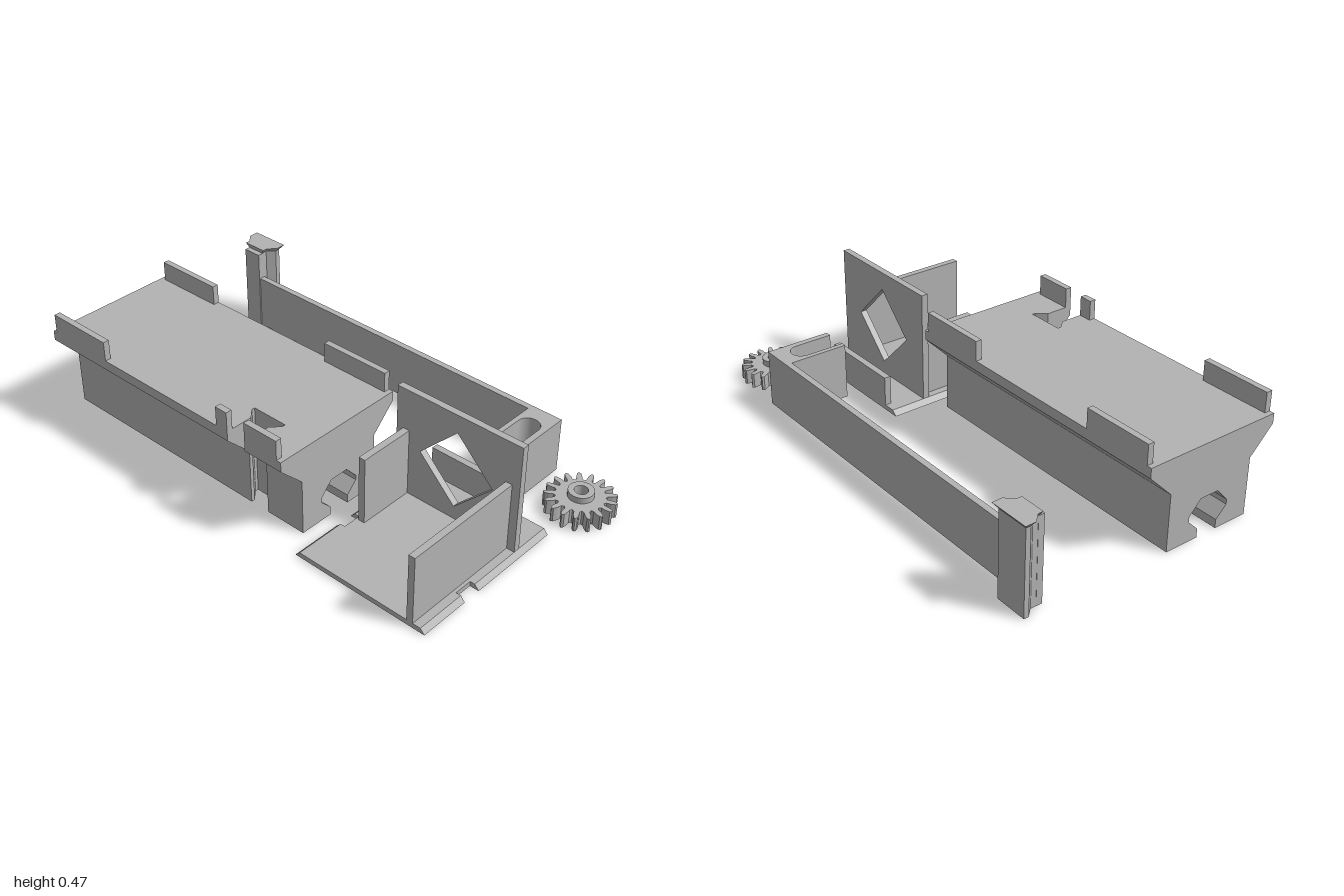
import * as THREE from 'three';

export function createModel() {
  const model = new THREE.Group();
  const grey = new THREE.MeshStandardMaterial({ color: 0xb3b3b3 });
  grey.name = 'plainGrey';

  const add = (name, geo, parent) => {
    const m = new THREE.Mesh(geo, grey);
    m.name = name;
    parent.add(m);
    return m;
  };
  const group = (name) => {
    const g = new THREE.Group();
    g.name = name;
    model.add(g);
    return g;
  };
  const box = (name, parent, x0, x1, y0, y1, z0, z1) =>
    add(name, new THREE.BoxGeometry(x1 - x0, y1 - y0, z1 - z0)
      .translate((x0 + x1) / 2, (y0 + y1) / 2, (z0 + z1) / 2), parent);
  const extrude = (shape, depth) =>
    new THREE.ExtrudeGeometry(shape, { depth, bevelEnabled: false, curveSegments: 16 });
  // cross-section of [z, y] points, run along x
  const alongX = (name, parent, pts, x0, x1) =>
    add(name, extrude(new THREE.Shape(pts.map(([z, y]) => new THREE.Vector2(-z, y))), x1 - x0)
      .rotateY(Math.PI / 2).translate(x0, 0, 0), parent);
  // plan of [x, z] points, raised along y
  const planShape = (pts) => new THREE.Shape(pts.map(([x, z]) => new THREE.Vector2(x, -z)));
  const upright = (name, parent, shape, y0, y1) =>
    add(name, extrude(shape, y1 - y0).rotateX(-Math.PI / 2).translate(0, y0, 0), parent);

  // ---- long block with overhanging top and a channel underneath
  const block = group('railBlock');
  const c = 0.2575;
  const channel = [[c - 0.045, 0], [c - 0.045, 0.035], [c - 0.09, 0.08], [c - 0.09, 0.1], [c - 0.04, 0.155],
    [c + 0.04, 0.155], [c + 0.09, 0.1], [c + 0.09, 0.08], [c + 0.045, 0.035], [c + 0.045, 0]];
  const cavity = [[0.13, 0], [0.13, 0.155], [0.385, 0.155], [0.385, 0]];
  const backEdge = [[-0.03, 0.37], [-0.03, 0.33], [0.07, 0.23], [0.07, 0]];
  const frontEdge = [[0.445, 0], [0.445, 0.23], [0.545, 0.33], [0.545, 0.37]];
  alongX('blockRightEnd', block, [...backEdge, ...channel, ...frontEdge], -1, -0.62);
  alongX('blockMiddle', block, [...backEdge, ...cavity, ...frontEdge], -0.62, -0.1);
  alongX('blockLeftEnd', block, [...backEdge, ...channel, [0.38, 0], [0.38, 0.37]], -0.1, 0.225);

  // front of the left end, split by the upright dovetail slot
  const lip = [[0.43, 0], ...frontEdge, [0.43, 0.37]];
  alongX('slotLipRight', block, lip, -0.1, -0.035);
  alongX('slotLipLeft', block, lip, 0.05, 0.225);
  upright('slotCheekRight', block, planShape(
    [[-0.1, 0.38], [-0.068, 0.38], [-0.068, 0.393], [-0.035, 0.43], [-0.1, 0.43]]), 0, 0.37);
  upright('slotCheekLeft', block, planShape(
    [[0.225, 0.38], [0.083, 0.38], [0.083, 0.393], [0.05, 0.43], [0.225, 0.43]]), 0, 0.37);

  // raised guide tabs
  for (const [z0, z1] of [[-0.03, -0.005], [0.52, 0.545]]) {
    const spans = z0 < 0 ? [[-0.98, -0.69], [-0.09, 0.205]]
      : [[-0.98, -0.69], [-0.09, -0.035], [0.05, 0.205]];
    for (const [x0, x1] of spans) box('guideTab', block, x0, x1, 0.37, 0.45, z0, z1);
  }

  // ---- tray with bevelled, notched base
  const tray = group('tray');
  const bevel = (name, z0, z1) => add(name, extrude(new THREE.Shape(
    [[0.285, 0], [0.868, 0], [0.85, 0.02], [0.305, 0.02]].map((p) => new THREE.Vector2(...p))), z1 - z0)
    .translate(0, 0, z0), tray);
  bevel('trayBaseBack', -0.135, 0.26);
  box('trayBaseMiddle', tray, 0.325, 0.83, 0, 0.02, 0.26, 0.335);
  bevel('trayBaseFront', 0.335, 0.545);
  box('sideWallRight', tray, 0.335, 0.363, 0.02, 0.3, 0.04, 0.275);
  box('sideWallLeft', tray, 0.79, 0.817, 0.02, 0.3, 0.04, 0.545);
  box('backTab', tray, 0.355, 0.717, 0.02, 0.14, -0.135, -0.108);

  // tall wall with diamond window
  const wall = new THREE.Shape([[0.305, 0.02], [0.85, 0.02], [0.85, 0.47], [0.305, 0.47]]
    .map((p) => new THREE.Vector2(...p)));
  wall.holes.push(new THREE.Path([[0.416, 0.235], [0.577, 0.396], [0.738, 0.235], [0.577, 0.074]]
    .map((p) => new THREE.Vector2(...p))));
  add('windowWall', extrude(wall, 0.027).translate(0, 0, 0.013), tray);

  // ---- long arm with a forked end
  const arm = group('arm');
  const fork = planShape([[-0.955, -0.465], [0.67, -0.465], [0.67, -0.197], [0.645, -0.197]]);
  fork.lineTo(0.645, 0.355);
  fork.absarc(0.6, 0.355, 0.045, 0, Math.PI, false);
  fork.lineTo(0.555, 0.197);
  fork.lineTo(0.535, 0.197);
  fork.lineTo(0.535, 0.44);
  fork.lineTo(-0.955, 0.44);
  upright('armBar', arm, fork, 0, 0.23);
  box('armPost', arm, -0.957, -0.877, 0, 0.345, -0.46, -0.435);

  // dovetail key with flared cap: same plan at three heights
  const cx = -0.918;
  const key = (w, n, zb, zs, zn, zf) => [[cx - w, zb], [cx + w, zb], [cx + w, zs],
    [cx + n, zn], [cx + n, zf], [cx - n, zf], [cx - n, zn], [cx - w, zs]];
  const shaft = key(0.066, 0.038, -0.532, -0.512, -0.482, -0.458);
  const cap = key(0.082, 0.052, -0.547, -0.505, -0.473, -0.452);
  upright('keyShaft', arm, planShape(shaft), 0, 0.345);
  const flare = extrude(planShape(shaft), 0.02).rotateX(-Math.PI / 2).translate(0, 0.345, 0);
  const p = flare.attributes.position;
  for (let i = 0; i < p.count; i++) {
    if (p.getY(i) < 0.355) continue;
    const k = shaft.findIndex(([x, z]) => Math.hypot(x - p.getX(i), z - p.getZ(i)) < 1e-4);
    if (k >= 0) p.setXYZ(i, cap[k][0], p.getY(i), cap[k][1]);
  }
  flare.computeVertexNormals();
  add('keyCap', flare, arm);

  // ---- small gear with hub and bore
  const gear = group('gear');
  gear.position.set(0.865, 0, -0.333);
  const teeth = 17;
  const outline = [];
  const toothProfile = [[-0.5, 0.09], [-0.28, 0.097], [-0.24, 0.115], [-0.15, 0.13],
    [0, 0.135], [0.15, 0.13], [0.24, 0.115], [0.28, 0.097]];
  for (let i = 0; i < teeth; i++) {
    for (const [t, r] of toothProfile) {
      const a = ((i + t) / teeth) * Math.PI * 2;
      outline.push(new THREE.Vector2(Math.cos(a) * r, Math.sin(a) * r));
    }
  }
  const bore = () => new THREE.Path().absarc(0, 0, 0.026, 0, Math.PI * 2, true);
  const disc = new THREE.Shape(outline);
  disc.holes.push(bore());
  upright('gearTeeth', gear, disc, 0, 0.06);
  const hub = new THREE.Shape().absarc(0, 0, 0.049, 0, Math.PI * 2, false);
  hub.holes.push(bore());
  upright('gearHub', gear, hub, 0.06, 0.085);

  return model;
}
